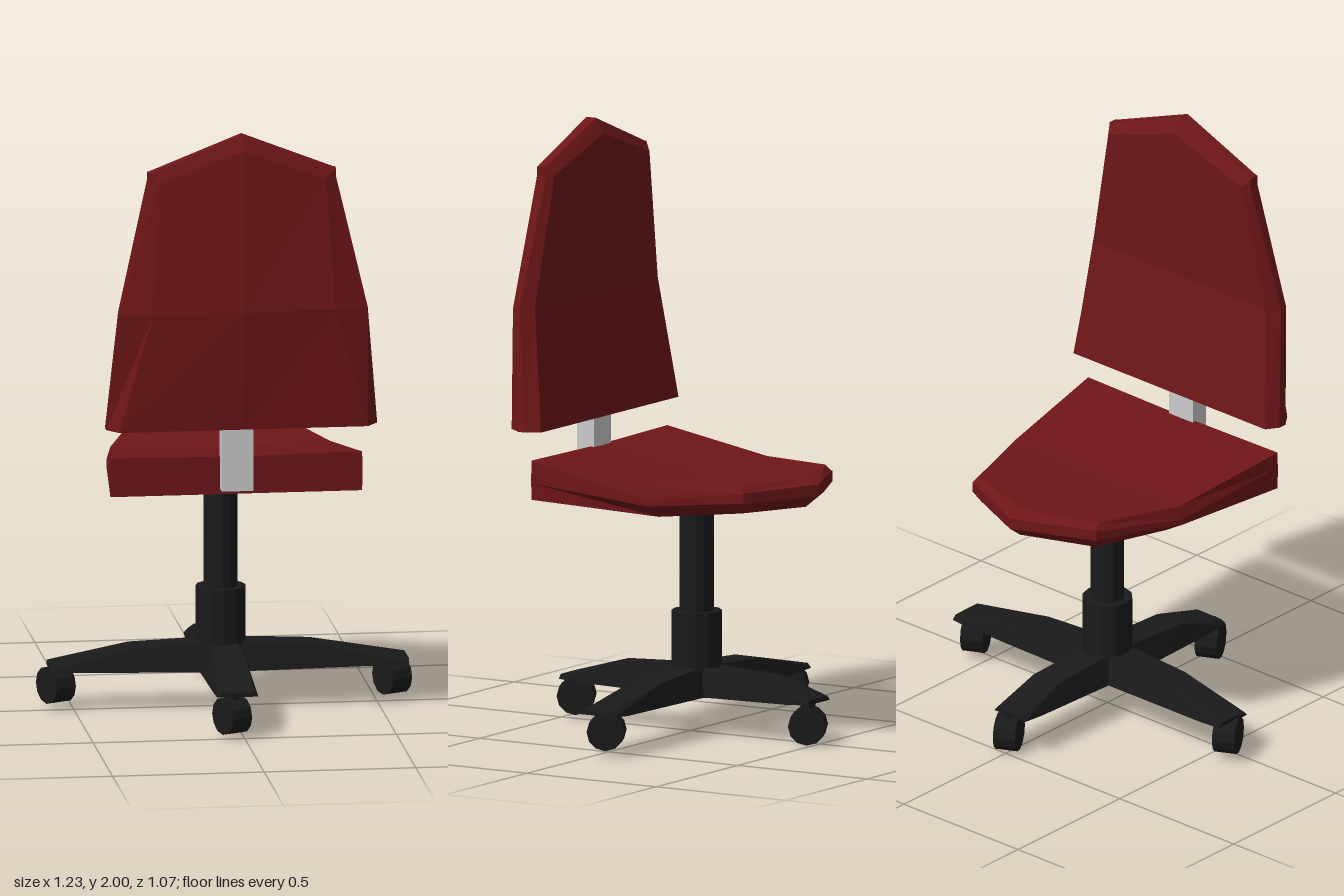
import * as THREE from 'three';

const mat = (color) => new THREE.MeshStandardMaterial({ color, flatShading: true });

// Cushion lofted along v through ten-sided rings (u across, w through the thickness).
// Row: side v, centre v, outer half width, [low x, side w, centre w],
// [high x, side w, centre w], rim low w, rim high w
function cushion(rows, toWorld) {
  const pos = [], idx = [];
  for (const [v, vc, X, [lx, lw, lc], [hx, hw, hc], m0, m1] of rows) {
    const ring = [
      [0, vc, hc], [hx, v, hw], [X, v, m1], [X, v, m0], [lx, v, lw],
      [0, vc, lc], [-lx, v, lw], [-X, v, m0], [-X, v, m1], [-hx, v, hw],
    ];
    for (const p of ring) pos.push(...toWorld(...p));
  }
  const quad = (a, b, c, d) => idx.push(a, b, c, a, c, d);
  const n = 10, last = (rows.length - 1) * n;
  for (let r = 0; r < last; r += n) {
    for (let k = 0; k < n; k++) {
      const j = (k + 1) % n;
      quad(r + k, r + j, r + n + j, r + n + k);
    }
  }
  // End caps
  for (const [a, b, c, d] of [[0, 1, 4, 5], [1, 2, 3, 4], [5, 6, 9, 0], [6, 7, 8, 9]]) {
    quad(last + a, last + b, last + c, last + d);
    quad(d, c, b, a);
  }
  const g = new THREE.BufferGeometry();
  g.setAttribute('position', new THREE.Float32BufferAttribute(pos, 3));
  g.setIndex(idx);
  g.computeVertexNormals();
  return g;
}

// Tapered leg along +x with a narrower top
function legGeometry(length) {
  const shape = new THREE.Shape([
    [0, 0.125], [length - 0.08, 0.13], [length, 0.135], [length, 0.15], [0.3, 0.205], [0, 0.22],
  ].map(([x, y]) => new THREE.Vector2(x, y)));
  const g = new THREE.ExtrudeGeometry(shape, { depth: 1, bevelEnabled: false });
  g.translate(0, 0, -0.5);
  const p = g.attributes.position;
  for (let i = 0; i < p.count; i++) {
    const t = p.getX(i) / length;
    const width = 0.155 - 0.02 * t;
    const top = p.getY(i) > 0.14 ? 0.65 + 0.15 * t : 1;
    p.setZ(i, p.getZ(i) * width * top);
  }
  g.computeVertexNormals();
  return g;
}

export function createModel() {
  const group = new THREE.Group();
  const red = mat(0x6e1618), black = mat(0x1a1a1a), grey = mat(0xcccccc);
  const add = (name, geo, material, x = 0, y = 0, z = 0) => {
    const m = new THREE.Mesh(geo, material);
    m.name = name;
    m.position.set(x, y, z);
    group.add(m);
    return m;
  };

  // Backrest
  add('backrest', cushion([
    [1.02, 1.02, 0.447, [0.42, 0.31, 0.31], [0.41, 0.43, 0.43], 0.35, 0.38],
    [1.42, 1.42, 0.41, [0.375, 0.362, 0.37], [0.3, 0.455, 0.473], 0.4, 0.425],
    [1.85, 1.95, 0.31, [0.29, 0.34, 0.336], [0.275, 0.41, 0.42], 0.36, 0.395],
    [1.88, 2.0, 0.31, [0.305, 0.365, 0.365], [0.305, 0.395, 0.4], 0.365, 0.395],
  ], (u, v, w) => [u, v, w]), red, 0.005);

  // Seat, running from the backrest toward -z
  add('seat', cushion([
    [-0.36, -0.36, 0.416, [0.415, 0.79, 0.79], [0.415, 0.92, 0.915], 0.845, 0.865],
    [0.06, 0.06, 0.375, [0.3, 0.755, 0.74], [0.362, 0.863, 0.857], 0.8, 0.82],
    [0.35, 0.44, 0.275, [0.25, 0.785, 0.78], [0.26, 0.875, 0.873], 0.82, 0.85],
    [0.37, 0.49, 0.272, [0.268, 0.82, 0.82], [0.268, 0.855, 0.858], 0.82, 0.855],
  ], (u, v, w) => [u, w, -v]), red, -0.01);

  // Bracket joining seat and backrest
  add('backBracket', new THREE.BoxGeometry(0.105, 0.25, 0.065), grey, -0.012, 0.935, 0.381);

  // Column
  const cx = -0.014, cz = -0.015;
  add('column', new THREE.CylinderGeometry(0.056, 0.056, 0.42, 12), black, cx, 0.56, cz);
  add('columnSleeve', new THREE.CylinderGeometry(0.083, 0.083, 0.28, 12), black, cx, 0.26, cz);

  // Four legs with casters all swivelled the same way: leg tip, then wheel centre
  const legs = [
    ['rightLeg', [-0.58, -0.033], [-0.555, 0.08, -0.03]],
    ['leftLeg', [0.6, -0.02], [0.553, 0.08, -0.025]],
    ['backLeg', [-0.02, 0.48], [-0.037, 0.072, 0.465]],
    ['frontLeg', [-0.008, -0.49], [0.017, 0.062, -0.465]],
  ];
  const wheelGeo = new THREE.CylinderGeometry(0.062, 0.062, 0.075, 12).rotateZ(Math.PI / 2).rotateY(0.46);
  const stemGeo = new THREE.CylinderGeometry(0.025, 0.025, 0.08, 8);
  for (const [name, [tx, tz], [wx, wy, wz]] of legs) {
    const dx = tx - cx, dz = tz - cz;
    add(name, legGeometry(Math.hypot(dx, dz)), black, cx, 0, cz).rotation.y = Math.atan2(-dz, dx);
    add(name + 'CasterStem', stemGeo, black, wx, 0.105, wz);
    add(name + 'CasterWheel', wheelGeo, black, wx, wy, wz);
  }
  return group;
}
